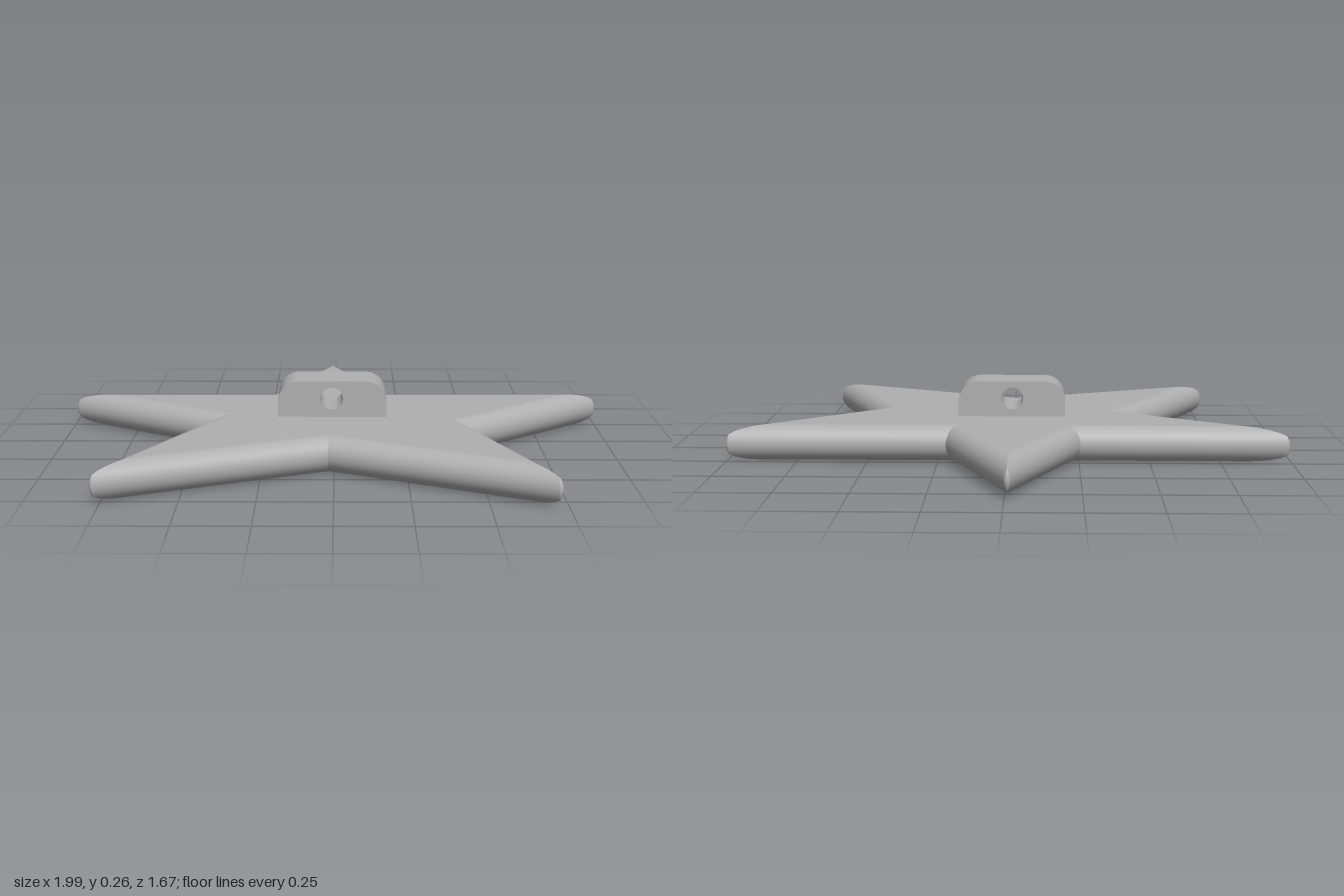
import * as THREE from 'three';
import { toCreasedNormals } from 'three/addons/utils/BufferGeometryUtils.js';

const R = 0.064;        // half thickness and rim radius
const TIP = 0.012;      // small rounding of the tips in plan
const RIM_STEPS = 16, TIP_STEPS = 6;

// Star corners in plan (x, z): tips at even places, notches at odd ones
const corners = [
  [-0.01, -0.86], [0.22, -0.265], [1.018, -0.272], [0.485, 0.2], [0.738, 0.848],
  [-0.02, 0.457], [-0.793, 0.812], [-0.445, 0.115], [-1.018, -0.264], [-0.255, -0.262],
].map(([x, z]) => new THREE.Vector2(x, z));
const at = (i) => corners[(i + 10) % 10];

// Outward direction of the edge from corner i to the next
function edgeNormal(i) {
  const e = at(i + 1).clone().sub(at(i)).normalize();
  return new THREE.Vector2(e.y, -e.x);
}

// Corner i moved inwards by d on both of its edges
function inset(i, d) {
  const a = edgeNormal(i - 1), b = edgeNormal(i);
  return at(i).clone().addScaledVector(a.clone().add(b), -d / (1 + a.dot(b)));
}

// Half-round rim of one arm: notch, rounded tip, notch
function armRim(tip) {
  const n0 = edgeNormal(tip - 1), n1 = edgeNormal(tip);
  const a0 = n0.angle();
  const turn = Math.acos(n0.dot(n1));
  const columns = TIP_STEPS + 3;
  const pos = [], nor = [], index = [];
  for (let k = 0; k <= RIM_STEPS; k++) {
    const t = -Math.PI / 2 + (Math.PI * k) / RIM_STEPS;
    const c = Math.cos(t), s = Math.sin(t);
    const d = R * (1 - c), round = Math.max(TIP - d, 0);
    const add = (p, n) => {
      pos.push(p.x, R + R * s, p.y);
      nor.push(n.x * c, s, n.y * c);
    };
    add(inset(tip - 1, d), n0);
    for (let j = 0; j <= TIP_STEPS; j++) {
      const a = a0 + (turn * j) / TIP_STEPS;
      const n = new THREE.Vector2(Math.cos(a), Math.sin(a));
      add(inset(tip, d + round).addScaledVector(n, round), n);
    }
    add(inset(tip + 1, d), n1);
  }
  for (let k = 0; k < RIM_STEPS; k++) {
    for (let j = 0; j < columns - 1; j++) {
      const a = k * columns + j, b = a + columns;
      index.push(a, b, a + 1, b, b + 1, a + 1);
    }
  }
  const g = new THREE.BufferGeometry();
  g.setAttribute('position', new THREE.Float32BufferAttribute(pos, 3));
  g.setAttribute('normal', new THREE.Float32BufferAttribute(nor, 3));
  g.setIndex(index);
  return g;
}

// Flat star face, side = 1 for the top and -1 for the bottom
function flatFace(side) {
  const pts = corners.map((_, i) => inset(i, R)).map((p) => new THREE.Vector2(p.x, -side * p.y));
  return new THREE.ShapeGeometry(new THREE.Shape(pts))
    .rotateX((-side * Math.PI) / 2)
    .translate(0, R + side * R, 0);
}

// Hanging lug with rounded shoulders and a through hole
function lugGeometry() {
  const x0 = -0.203, x1 = 0.187, y0 = 0.12, y1 = 0.257, r = 0.075;
  const s = new THREE.Shape();
  s.moveTo(x0, y0);
  s.lineTo(x1, y0);
  s.lineTo(x1, y1 - r);
  s.absarc(x1 - r, y1 - r, r, 0, Math.PI / 2, false);
  s.lineTo(x0 + r, y1);
  s.absarc(x0 + r, y1 - r, r, Math.PI / 2, Math.PI, false);
  s.closePath();
  s.holes.push(new THREE.Path().absarc(-0.01, 0.195, 0.04, 0, Math.PI * 2, true));
  const g = new THREE.ExtrudeGeometry(s, { depth: 0.17, bevelEnabled: false, curveSegments: 16 });
  return toCreasedNormals(g.translate(0, 0, -0.031), 0.6);
}

export function createModel() {
  const grey = new THREE.MeshStandardMaterial({ color: 0xb0b0b0 });
  grey.name = 'grey';
  const model = new THREE.Group();
  model.name = 'starOrnament';
  const add = (name, geometry) => {
    const mesh = new THREE.Mesh(geometry, grey);
    mesh.name = name;
    model.add(mesh);
  };
  for (let i = 0; i < 5; i++) add(`armRim${i + 1}`, armRim(i * 2));
  add('starTop', flatFace(1));
  add('starBottom', flatFace(-1));
  add('hangingLug', lugGeometry());
  return model;
}
